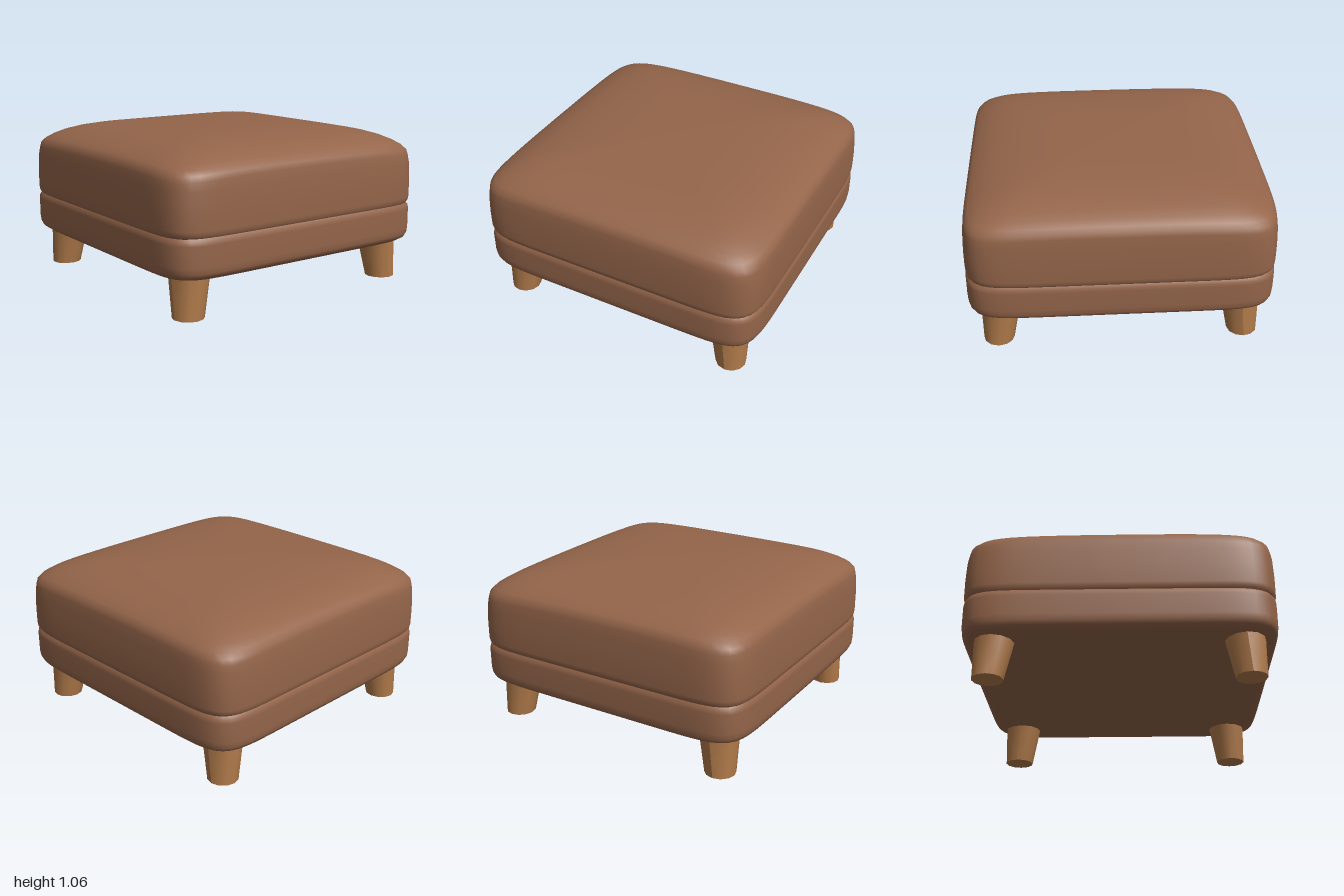
import * as THREE from 'three';
import { mergeVertices } from 'three/addons/utils/BufferGeometryUtils.js';

const SEGMENTS = 160;

// Soft-cornered square outline at a given angle, with a slight bulge along the sides
function outline(angle, half, power = 10) {
  const c = Math.cos(angle), s = Math.sin(angle);
  const r = half / Math.pow(Math.abs(c) ** power + Math.abs(s) ** power, 1 / power);
  return [r * c, r * s];
}

// Skin a stack of square rings, each given as [half width, height], bottom to top
function loftSquare(rings, cornerDrop = 0) {
  const positions = [], index = [];
  for (const [half, y] of rings) {
    for (let j = 0; j < SEGMENTS; j++) {
      const [x, z] = outline((j / SEGMENTS) * Math.PI * 2, half);
      const drop = y > 0.85 ? cornerDrop * Math.abs(x * z) ** 3 : 0;
      positions.push(x, y - drop, z);
    }
  }
  for (let i = 0; i < rings.length - 1; i++) {
    for (let j = 0; j < SEGMENTS; j++) {
      const k = (j + 1) % SEGMENTS;
      const a = i * SEGMENTS + j, b = i * SEGMENTS + k;
      const d = a + SEGMENTS, c = b + SEGMENTS;
      index.push(a, d, c, a, c, b);
    }
  }
  let geometry = new THREE.BufferGeometry();
  geometry.setAttribute('position', new THREE.Float32BufferAttribute(positions, 3));
  geometry.setIndex(index);
  geometry = mergeVertices(geometry, 1e-5);
  geometry.computeVertexNormals();
  return geometry;
}

// Tapered leg whose foot leans outward towards +x and +z
function legGeometry() {
  const height = 0.28;
  const geometry = new THREE.CylinderGeometry(0.13, 0.1, height, 12, 2);
  geometry.translate(0, height / 2, 0);
  const p = geometry.attributes.position;
  for (let i = 0; i < p.count; i++) {
    const lean = 0.025 * (1 - p.getY(i) / height);
    p.setX(i, p.getX(i) + lean);
    p.setZ(i, p.getZ(i) + lean);
  }
  geometry.computeVertexNormals();
  return geometry;
}

export function createModel() {
  const model = new THREE.Group();
  model.name = 'footstool';
  const leather = new THREE.MeshStandardMaterial({ color: 0x94654a });
  const wood = new THREE.MeshStandardMaterial({ color: 0xb07a4a });

  // Upholstered base, rounded underneath and pinched in at the seam
  const base = new THREE.Mesh(loftSquare([
    [0, 0.257], [0.88, 0.257], [0.92, 0.259], [0.96, 0.267], [0.985, 0.285],
    [0.996, 0.31], [1, 0.35], [1, 0.48], [0.997, 0.505], [0.986, 0.522],
  ]), leather);
  base.name = 'base';
  model.add(base);

  // Domed seat cushion above the seam
  const cushion = new THREE.Mesh(loftSquare([
    [0.986, 0.522], [0.996, 0.538], [1, 0.565], [1, 0.68], [0.995, 0.8],
    [0.988, 0.87], [0.98, 0.905], [0.955, 0.932], [0.91, 0.958], [0.85, 0.984],
    [0.77, 1.007], [0.67, 1.026], [0.54, 1.04], [0.38, 1.05], [0.2, 1.055], [0, 1.057],
  ], 0.035), leather);
  cushion.name = 'cushion';
  model.add(cushion);

  // Four legs, each turned so that its foot points to its own corner
  const leg = legGeometry();
  const corners = [
    ['frontLeftLeg', 1, 1], ['backLeftLeg', 1, -1],
    ['backRightLeg', -1, -1], ['frontRightLeg', -1, 1],
  ];
  corners.forEach(([name, sx, sz], i) => {
    const mesh = new THREE.Mesh(leg, wood);
    mesh.name = name;
    mesh.position.set(sx * 0.78, 0, sz * 0.78);
    mesh.rotation.y = i * Math.PI / 2;
    model.add(mesh);
  });

  return model;
}
